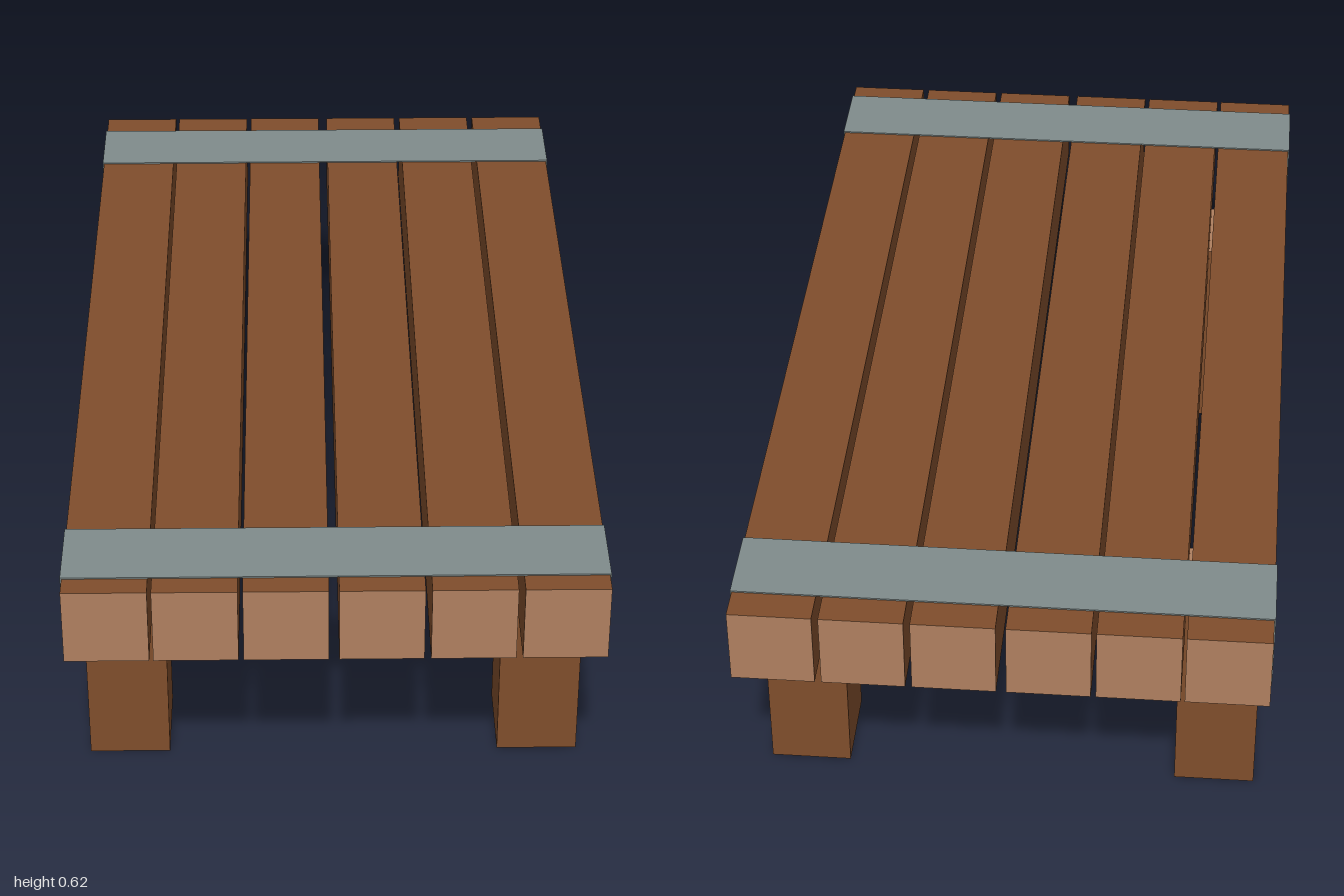
import * as THREE from 'three';

const wood = new THREE.MeshStandardMaterial({ color: 0x804e2c });
wood.name = 'brown wood';
const endGrain = new THREE.MeshStandardMaterial({ color: 0xb08060 });
endGrain.name = 'pale end grain';
const metal = new THREE.MeshStandardMaterial({ color: 0x808c8c });
metal.name = 'grey metal';

// Box given by its lower and upper limits on each axis
function box(name, [x0, x1], [y0, y1], [z0, z1], material) {
  const mesh = new THREE.Mesh(new THREE.BoxGeometry(x1 - x0, y1 - y0, z1 - z0), material);
  mesh.position.set((x0 + x1) / 2, (y0 + y1) / 2, (z0 + z1) / 2);
  mesh.name = name;
  return mesh;
}

export function createModel() {
  const model = new THREE.Group();
  model.name = 'plankTable';
  const bottom = 0.45, top = 0.615, width = 0.168, edge = 0.536;

  // Six slightly uneven planks, with end grain at front and back
  const plankFaces = [wood, wood, wood, wood, endGrain, endGrain];
  [-0.452, -0.276, -0.098, 0.09, 0.271, 0.452].forEach((x, i) => {
    model.add(box(`plank${i + 1}`, [x - width / 2, x + width / 2], [bottom, top], [-1, 1], plankFaces));
  });

  // Four square legs let into the planks, with end grain at top and bottom
  const legFaces = [wood, wood, endGrain, endGrain, wood, wood];
  for (const [end, z] of [['front', [0.54, 0.724]], ['back', [-0.746, -0.562]]]) {
    model.add(box(`${end}LeftLeg`, [0.346, 0.514], [0, 0.482], z, legFaces));
    model.add(box(`${end}RightLeg`, [-0.516, -0.348], [0, 0.482], z, legFaces));
  }

  // Metal straps over the top and down both sides
  const t = 0.003;
  for (const [end, z] of [['front', [0.786, 0.953]], ['back', [-0.932, -0.765]]]) {
    const strap = new THREE.Group();
    strap.name = `${end}Strap`;
    strap.add(
      box('strapTop', [-edge - t, edge + t], [top, top + t], z, metal),
      box('strapLeftSide', [edge, edge + t], [bottom - t, top], z, metal),
      box('strapRightSide', [-edge - t, -edge], [bottom - t, top], z, metal),
    );
    model.add(strap);
  }
  return model;
}
